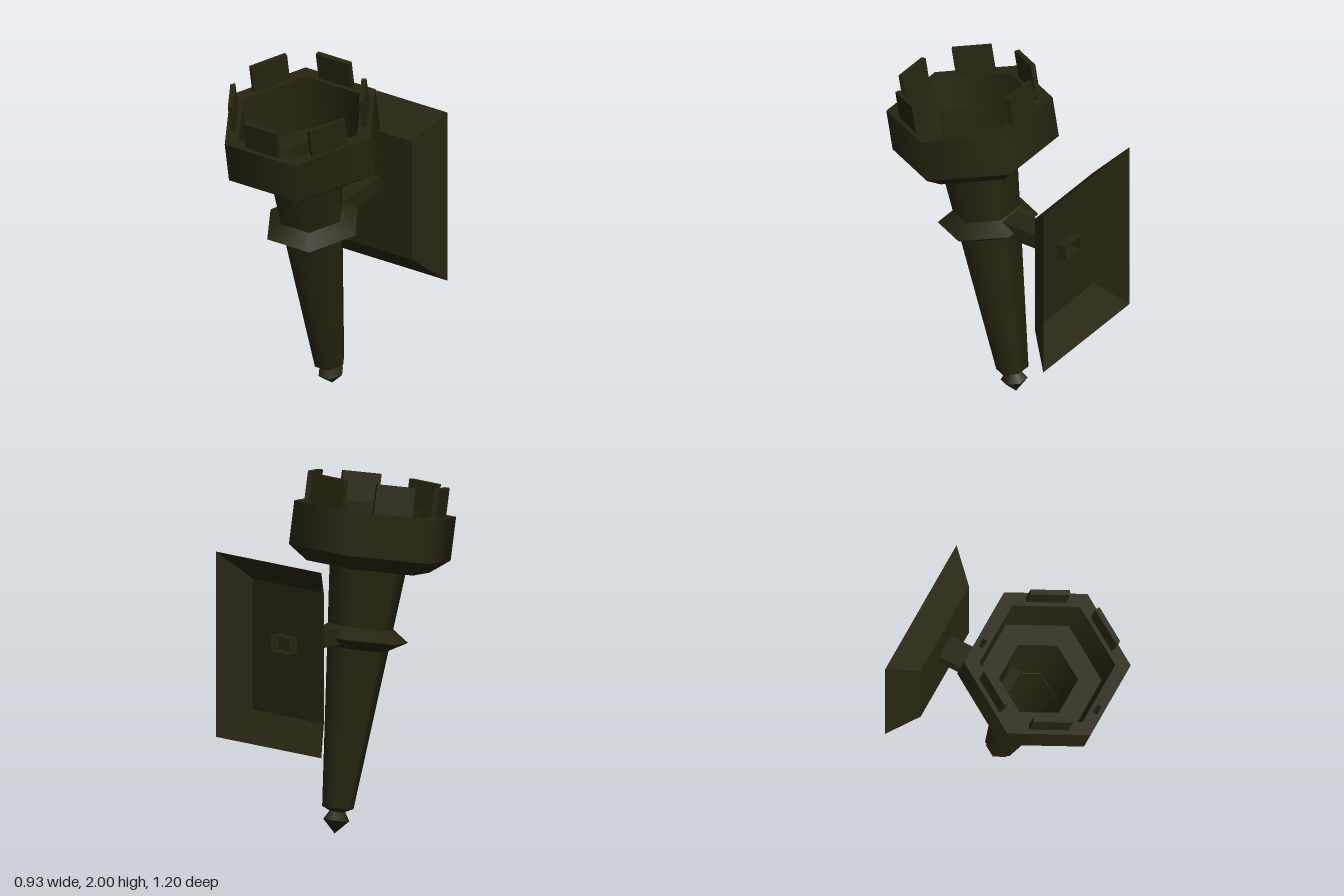
import * as THREE from 'three';

export function createModel() {
  const model = new THREE.Group();
  model.name = 'wallTorch';
  const iron = new THREE.MeshStandardMaterial({ color: 0x27250f, side: THREE.DoubleSide });
  iron.name = 'darkIron';

  const add = (parent, name, geometry) => {
    const mesh = new THREE.Mesh(geometry, iron);
    mesh.name = name;
    parent.add(mesh);
    return mesh;
  };

  // Six-sided bands along a [radius, height] profile, creased between bands
  const hexBands = (parent, name, profile) => {
    const part = new THREE.Group();
    part.name = name;
    for (let i = 0; i < profile.length - 1; i++) {
      const points = [profile[i], profile[i + 1]].map(([r, h]) => new THREE.Vector2(r, h));
      add(part, name + 'Band', new THREE.LatheGeometry(points, 6, Math.PI / 6));
    }
    parent.add(part);
  };

  // Torch, leaning forward from its tip
  const torch = new THREE.Group();
  torch.name = 'torch';
  torch.position.set(0, 0, -0.112);
  torch.rotation.x = THREE.MathUtils.degToRad(10);
  model.add(torch);

  hexBands(torch, 'finial', [[0.001, 0.003], [0.075, 0.077], [0.045, 0.125]]);
  hexBands(torch, 'shaft', [[0.045, 0.125], [0.09, 0.147], [0.22, 1.486]]);
  hexBands(torch, 'collar', [[0.174, 1.033], [0.281, 1.089], [0.188, 1.155]]);
  // Outer wall, flat rim, inner wall and floor with an open shaft mouth
  hexBands(torch, 'cup', [
    [0.352, 1.486], [0.464, 1.565], [0.464, 1.808],
    [0.378, 1.808], [0.352, 1.486], [0.22, 1.486],
  ]);

  // One upright plate on each side of the rim
  for (let i = 0; i < 6; i++) {
    const angle = i * Math.PI / 3;
    const merlon = add(torch, 'merlon', new THREE.BoxGeometry(0.22, 0.164, 0.028));
    merlon.position.set(Math.sin(angle) * 0.363, 1.889, Math.cos(angle) * 0.363);
    merlon.rotation.y = angle;
  }

  // Hollow wall plate, bevelled and open at the back
  const bracket = new THREE.Group();
  bracket.name = 'bracket';
  bracket.position.set(0.0215, 1.071, 0);
  model.add(bracket);
  const bevel = new THREE.BoxGeometry(0.825, 1.04, 0.15);
  const p = bevel.attributes.position;
  for (let i = 0; i < p.count; i++) {
    if (p.getZ(i) > 0) p.setXY(i, Math.sign(p.getX(i)) * 0.28, Math.sign(p.getY(i)) * 0.367);
  }
  bevel.setIndex(Array.from(bevel.index.array).slice(0, 30)); // drop the back face
  bevel.computeVertexNormals();
  add(bracket, 'wallPlate', bevel).position.z = -0.525;

  // Square tube arm running through the plate, open at the back
  const arm = new THREE.BoxGeometry(0.14, 0.09, 0.5);
  arm.setIndex(Array.from(arm.index.array).slice(0, 30));
  add(bracket, 'arm', arm).position.set(0, 0.043, -0.262);

  return model;
}
